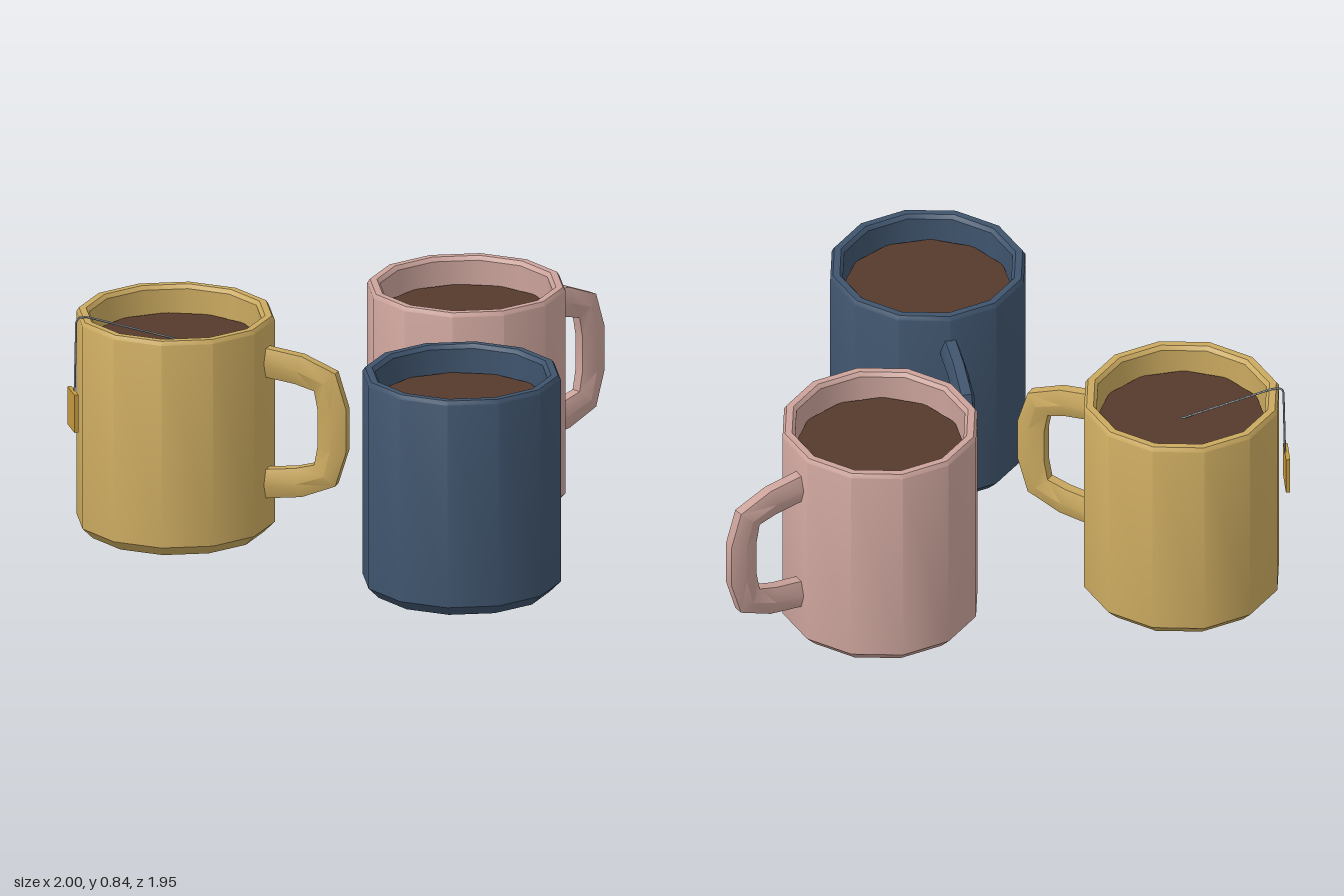
import * as THREE from 'three';
import { toCreasedNormals } from 'three/addons/utils/BufferGeometryUtils.js';

const v2 = (x, y) => new THREE.Vector2(x, y);
const v3 = (x, y, z = 0) => new THREE.Vector3(x, y, z);
const paint = (color) => new THREE.MeshStandardMaterial({ color });

function addMesh(parent, name, geometry, color) {
  const mesh = new THREE.Mesh(geometry, paint(color));
  mesh.name = name;
  parent.add(mesh);
  return mesh;
}

// Twelve-sided cup: chamfered foot, wall, bevelled rim, hollow inside
function cupGeometry() {
  const profile = [
    v2(0, 0), v2(0.328, 0), v2(0.368, 0.04), v2(0.368, 0.82), v2(0.358, 0.835),
    v2(0.332, 0.835), v2(0.32, 0.82), v2(0.318, 0.07), v2(0, 0.07),
  ];
  return toCreasedNormals(new THREE.LatheGeometry(profile, 12), 0.65);
}

// Flattened hexagonal tube through an upright D-shaped path
function handleGeometry() {
  const upper = [[0.342, 0.68], [0.48, 0.662], [0.582, 0.625], [0.61, 0.52]];
  const lower = upper.map(([x, y]) => [x, 0.89 - y]).reverse();
  const path = new THREE.CatmullRomCurve3([...upper, ...lower].map(([x, y]) => v3(x, y)));
  // Put one ring on each path point
  path.getPointAt = path.getPoint;
  path.getTangentAt = path.getTangent;
  const tube = new THREE.TubeGeometry(path, 7, 0.064, 6);
  tube.scale(1, 1, 0.6);
  return toCreasedNormals(tube, 0.7);
}

function makeMug(name, color, x, z, handleAngle) {
  const mug = new THREE.Group();
  mug.name = name;
  mug.position.set(x, 0, z);
  addMesh(mug, 'cup', cupGeometry(), color);
  const handle = addMesh(mug, 'handle', handleGeometry(), color);
  handle.rotation.y = THREE.MathUtils.degToRad(handleAngle);
  const drink = addMesh(mug, 'drink', new THREE.CylinderGeometry(0.312, 0.312, 0.02, 12), 0x553a2b);
  drink.position.y = 0.72;
  drink.rotation.y = Math.PI / 12;
  return mug;
}

// String from the drink over the rim, with a paper tag hanging outside
function makeTeaTag() {
  const tea = new THREE.Group();
  tea.name = 'teaTag';
  tea.rotation.y = -0.665;
  const points = [v3(0, 0.73, 0), v3(0, 0.84, 0.335), v3(0, 0.84, 0.366), v3(0, 0.825, 0.376), v3(0, 0.55, 0.382)];
  const path = new THREE.CurvePath();
  for (let i = 1; i < points.length; i++) path.add(new THREE.LineCurve3(points[i - 1], points[i]));
  addMesh(tea, 'string', new THREE.TubeGeometry(path, 80, 0.004, 5), 0x8a8f94);
  const tag = addMesh(tea, 'tag', new THREE.BoxGeometry(0.11, 0.145, 0.016), 0xc49a40);
  tag.position.set(0, 0.487, 0.388);
  return tea;
}

export function createModel() {
  const model = new THREE.Group();
  model.name = 'threeMugs';
  const yellow = makeMug('yellowMug', 0xcbaa60, -0.632, 0.605, 20);
  yellow.add(makeTeaTag());
  model.add(
    yellow,
    makeMug('blueMug', 0x3f546d, 0.632, 0.515, 150),
    makeMug('pinkMug', 0xcba39b, 0, -0.32, 80),
  );
  return model;
}
